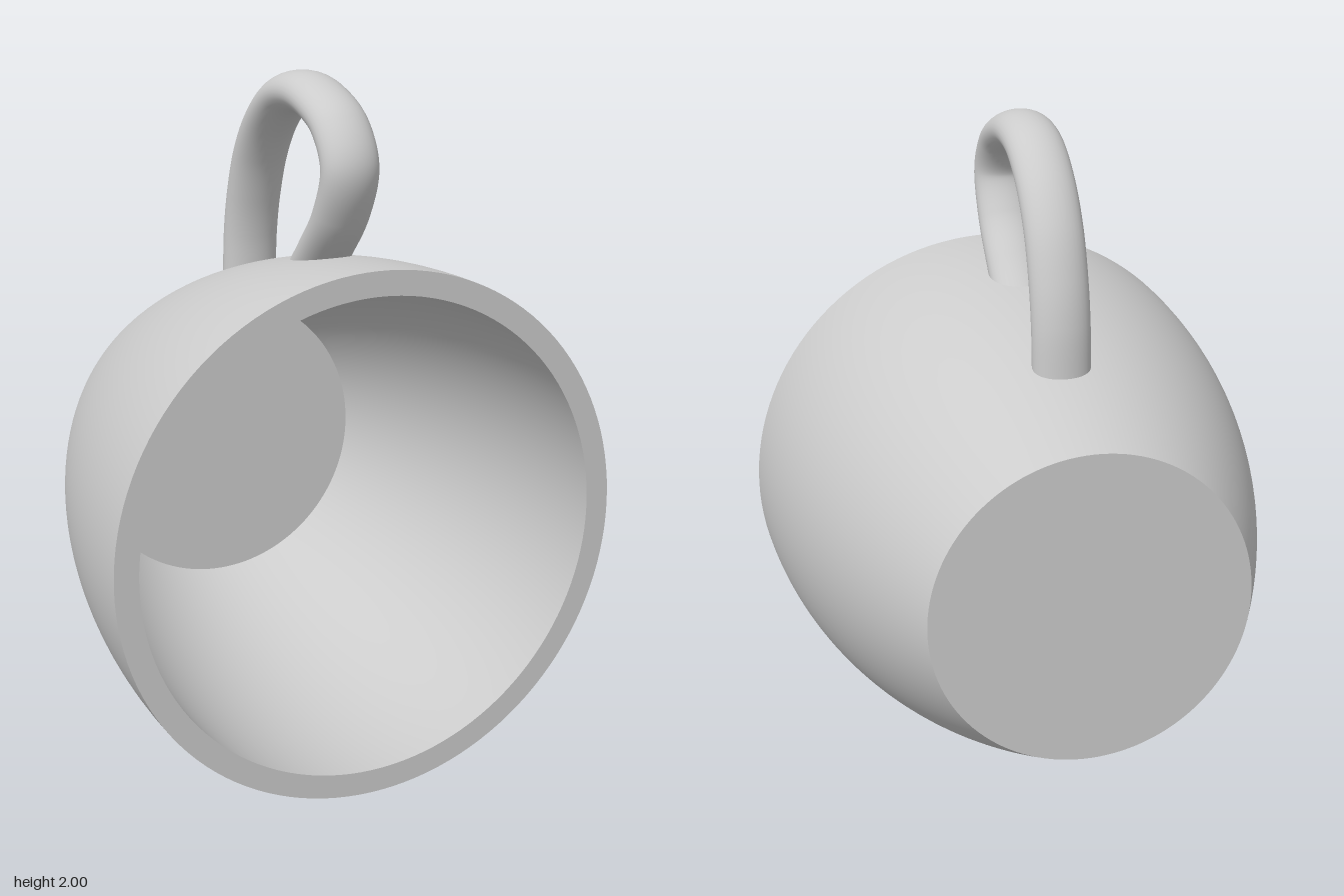
import * as THREE from 'three';

const FRONT = 0.575, BACK = -0.575, FLOOR = -0.49, AXIS_Y = 0.762;

// Parabolic wall profiles: radius as a function of z
const outerRadius = z => 0.762 - 0.2246 * (FRONT - z) ** 2;
const innerRadius = z => 0.692 - 0.209 * (FRONT - z) ** 2;

const material = new THREE.MeshStandardMaterial({ color: 0xcccccc });

// Points (radius, z) along a wall
function wallPoints(radius, from, to, steps = 32) {
  return Array.from({ length: steps + 1 }, (_, i) => {
    const z = from + (to - from) * i / steps;
    return new THREE.Vector2(radius(z), z);
  });
}

// Revolved surface lying along the z axis
function revolve(name, points) {
  const geometry = new THREE.LatheGeometry(points, 128);
  geometry.rotateX(Math.PI / 2);
  const mesh = new THREE.Mesh(geometry, material);
  mesh.name = name;
  mesh.position.y = AXIS_Y;
  return mesh;
}

// Looped handle: a tube widened in x, its ends buried in the middle of the wall
function createHandle() {
  const path = [
    [0.15, 1.41], [0.26, 1.525], [0.355, 1.64], [0.402, 1.77], [0.345, 1.87],
    [0.245, 1.923], [0.135, 1.943], [0.02, 1.92], [-0.09, 1.84],
    [-0.17, 1.73], [-0.22, 1.6], [-0.245, 1.48], [-0.255, 1.32],
  ].map(([z, y]) => new THREE.Vector3(0, y, z));
  const geometry = new THREE.TubeGeometry(new THREE.CatmullRomCurve3(path), 120, 0.058, 32);
  geometry.scale(1.45, 1, 1);

  const pos = geometry.attributes.position;
  for (let i = 0; i < pos.count; i++) {
    const x = pos.getX(i), y = pos.getY(i) - AXIS_Y, z = pos.getZ(i);
    const middle = (outerRadius(z) + innerRadius(z)) / 2;
    if (Math.hypot(x, y) < middle) pos.setY(i, AXIS_Y + Math.sqrt(middle * middle - x * x));
  }
  const mesh = new THREE.Mesh(geometry, material);
  mesh.name = 'handle';
  return mesh;
}

export function createModel() {
  const model = new THREE.Group();
  model.name = 'mug';
  const ring = (r, z) => new THREE.Vector2(r, z);

  // Cup body lying on its side, mouth to the front; separate pieces keep edges sharp
  model.add(
    revolve('base', [ring(0, BACK), ring(outerRadius(BACK), BACK)]),
    revolve('outerWall', wallPoints(outerRadius, BACK, FRONT)),
    revolve('rim', [ring(outerRadius(FRONT), FRONT), ring(innerRadius(FRONT), FRONT)]),
    revolve('innerWall', wallPoints(innerRadius, FRONT, FLOOR)),
    revolve('floor', [ring(innerRadius(FLOOR), FLOOR), ring(0, FLOOR)]),
    createHandle(),
  );
  return model;
}
